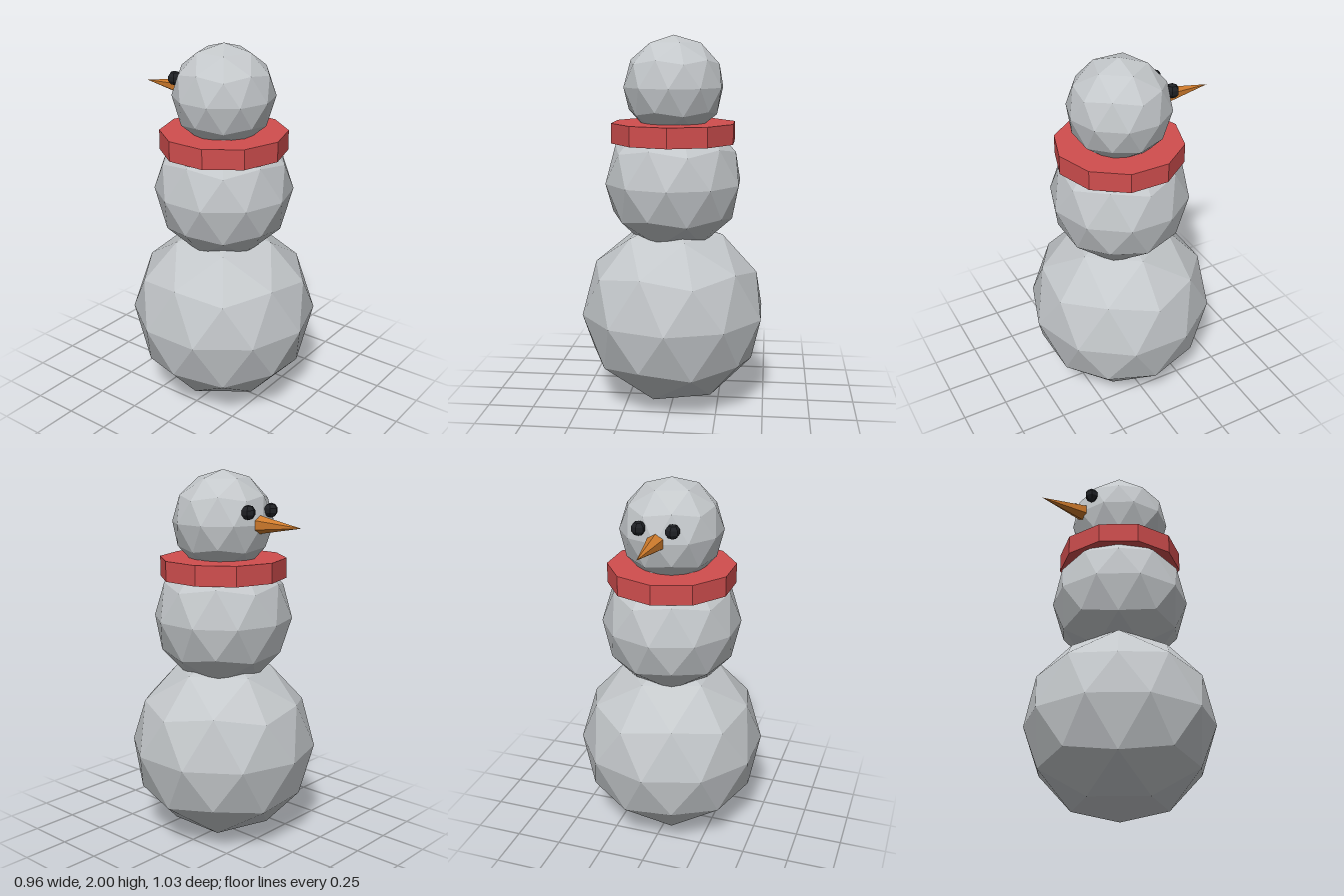
import * as THREE from 'three';

export function createModel() {
  const model = new THREE.Group();
  const centreZ = 0.005;

  const material = (name, color) =>
    new THREE.MeshStandardMaterial({ name, color, flatShading: true });
  const snow = material('snow grey', 0xc4c8cb);
  const red = material('scarf red', 0xd04e4e);
  const orange = material('carrot orange', 0xcf7b2c);
  const black = material('coal black', 0x1f2125);

  const add = (name, geometry, mat, x, y, z) => {
    const mesh = new THREE.Mesh(geometry, mat);
    mesh.name = name;
    mesh.position.set(x, y, z);
    model.add(mesh);
    return mesh;
  };

  // Faceted snowballs, turned so that a vertex points straight up
  const tilt = Math.atan(2 / (1 + Math.sqrt(5)));
  const balls = [
    ['lowerBody', 0.507, 0.507],
    ['upperBody', 0.372, 1.223],
    ['head', 0.27, 1.73],
  ];
  for (const [name, radius, y] of balls) {
    const ball = new THREE.IcosahedronGeometry(radius, 1).rotateZ(-tilt);
    add(name, ball, snow, 0, y, centreZ);
  }

  // Ten-sided scarf
  add('scarf', new THREE.CylinderGeometry(0.338, 0.338, 0.106, 10), red, 0, 1.491, centreZ);

  // Six-sided carrot nose pointing to -z
  const carrot = new THREE.ConeGeometry(0.047, 0.263, 6).rotateX(-Math.PI / 2);
  add('nose', carrot, orange, 0, 1.732, -0.3815);

  // Coal eyes
  for (const side of [-1, 1]) {
    const coal = new THREE.SphereGeometry(0.038, 6, 5).rotateY(Math.PI / 2);
    add(side > 0 ? 'leftEye' : 'rightEye', coal, black, side * 0.088, 1.799, -0.248);
  }

  return model;
}
